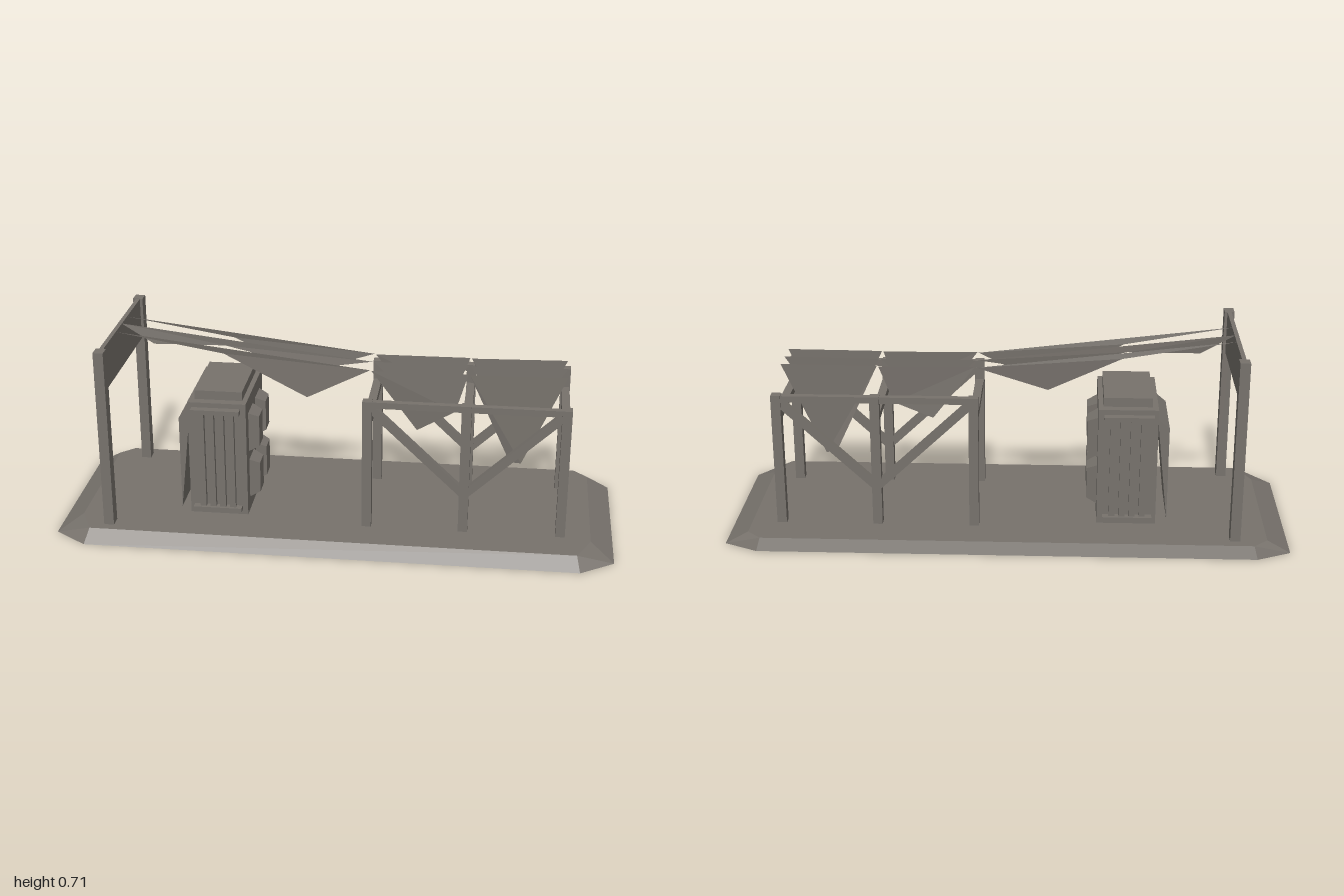
import * as THREE from 'three';

const stone = new THREE.MeshStandardMaterial({ color: 0x77726c });
stone.name = 'warm grey';
stone.side = THREE.DoubleSide;

// Height at which everything standing on the slab starts, just under its top sheet
const FOOT = 0.03;

// Box given by its limits on each axis
function block(parent, name, x0, x1, y0, y1, z0, z1) {
  const mesh = new THREE.Mesh(new THREE.BoxGeometry(x1 - x0, y1 - y0, z1 - z0), stone);
  mesh.position.set((x0 + x1) / 2, (y0 + y1) / 2, (z0 + z1) / 2);
  mesh.name = name;
  parent.add(mesh);
  return mesh;
}

// Shell between two matching closed loops of points, capped on the second and, unless open, on the first;
// flipped lists the sides split along the other diagonal
function loft(name, lower, upper, { open = false, flipped = [] } = {}) {
  const n = lower.length, pos = [...lower, ...upper].flat(), index = [];
  for (let i = 0; i < n; i++) {
    const j = (i + 1) % n;
    if (flipped.includes(i)) index.push(i, j, n + i, j, n + j, n + i);
    else index.push(i, j, n + j, i, n + j, n + i);
    if (i > 0 && i < n - 1) {
      index.push(n, n + i, n + i + 1);
      if (!open) index.push(0, i + 1, i);
    }
  }
  const geo = new THREE.BufferGeometry();
  geo.setAttribute('position', new THREE.Float32BufferAttribute(pos, 3));
  geo.setIndex(index);
  const flat = geo.toNonIndexed();
  flat.computeVertexNormals();
  const mesh = new THREE.Mesh(flat, stone);
  mesh.name = name;
  return mesh;
}

// Octagonal outline, counter-clockwise seen from above
function octagon(y, endX, cornerX, frontZ, frontCut, backZ, backCut) {
  return [[-cornerX, frontZ], [cornerX, frontZ], [endX, frontCut], [endX, backCut],
    [cornerX, backZ], [-cornerX, backZ], [-endX, backCut], [-endX, frontCut]]
    .map(([x, z]) => [x, y, z]);
}

function createCabinet() {
  const g = new THREE.Group();
  g.name = 'cabinet';
  block(g, 'cabinetBody', -0.53, -0.319, FOOT, 0.48, -0.188, 0.158);
  block(g, 'cabinetCap', -0.509, -0.337, 0.48, 0.513, -0.155, 0.125);

  // Ledges and upright ribs on both flanks
  const mid = -0.015;
  for (const s of [1, -1]) {
    const span = (a, b) => [mid + s * a, mid + s * b].sort((p, q) => p - q);
    block(g, 'upperLedge', -0.515, -0.339, 0.445, 0.462, ...span(0.17, 0.201));
    block(g, 'lowerLedge', -0.515, -0.339, 0.064, 0.08, ...span(0.17, 0.201));
    for (let i = 0; i < 4; i++) {
      const x = -0.48 + i * 0.036;
      block(g, 'sideRib', x - 0.011, x + 0.011, 0.08, 0.445, ...span(0.17, 0.191));
    }
  }

  // Bevelled door panels
  for (const z of [0.0625, -0.0815]) {
    for (const y of [0.17, 0.353]) {
      const ring = (x, w, lo, hi) => [[x, y - lo, z + w], [x, y - lo, z - w], [x, y + hi, z - w], [x, y + hi, z + w]];
      g.add(loft('doorPanel', ring(-0.319, 0.048, 0.075, 0.074), ring(-0.282, 0.035, 0.058, 0.057)));
    }
  }

  // Wedge hood on the rear
  const side = z => [[-0.572, 0.045, z], [-0.53, 0.435, z], [-0.572, 0.4, z]];
  g.add(loft('rearHood', side(-0.155), side(0.12)));
  return g;
}

function createFrame() {
  const g = new THREE.Group();
  g.name = 'timberFrame';
  for (const x of [0.118, 0.464, 0.81]) {
    for (const z of [0.183, -0.211]) block(g, 'framePost', x - 0.017, x + 0.017, FOOT, 0.53, z - 0.017, z + 0.017);
    block(g, 'crossRail', x - 0.015, x + 0.015, 0.435, 0.46, -0.2, 0.17);
  }
  for (const z of [0.183, -0.211]) {
    block(g, 'topRail', 0.118, 0.81, 0.505, 0.528, z - 0.012, z + 0.012);
    // Diagonal braces meeting at the middle post
    for (const x of [0.125, 0.803]) {
      const dx = x - 0.464, dy = 0.32;
      const brace = new THREE.Mesh(new THREE.BoxGeometry(Math.hypot(dx, dy), 0.029, 0.024), stone);
      brace.position.set(0.464 + dx / 2, 0.187 + dy / 2, z);
      brace.rotation.z = Math.atan(dy / dx);
      brace.name = 'diagonalBrace';
      g.add(brace);
    }
  }
  return g;
}

// Hanging cloth: an outline in x and y at depth z, its corners swaying slightly to either side
function createSheet(points, z) {
  const shape = new THREE.Shape(points.map(p => new THREE.Vector2(...p)));
  const folded = new THREE.ShapeGeometry(shape);
  const pos = folded.attributes.position;
  for (let i = 0; i < pos.count; i++) pos.setZ(i, i % 2 ? 0.003 : -0.003);
  const geo = folded.toNonIndexed();
  geo.computeVertexNormals();
  const mesh = new THREE.Mesh(geo, stone);
  mesh.position.z = z;
  mesh.name = 'hangingSheet';
  return mesh;
}

export function createModel() {
  const model = new THREE.Group();
  model.name = 'marketStand';

  // Bevelled ground slab, hollow underneath
  model.add(loft('baseSlab',
    octagon(0, 1, 0.88, 0.373, 0.29, -0.373, -0.315),
    octagon(0.045, 0.918, 0.868, 0.33, 0.22, -0.358, -0.309), { open: true, flipped: [1, 5] }));

  // Tall gate with a sign board
  block(model, 'gatePost', -0.822, -0.786, FOOT, 0.706, 0.25, 0.296);
  block(model, 'gatePost', -0.822, -0.786, FOOT, 0.706, -0.324, -0.279);
  block(model, 'gateBoard', -0.811, -0.796, 0.548, 0.705, -0.279, 0.25);

  model.add(createCabinet(), createFrame());

  // Three rows of cloth, each with a long sail and two short ones
  const rows = [
    [0.071, [
      [[-0.8, 0.703], [-0.41, 0.636], [-0.11, 0.485], [0.115, 0.597]],
      [[0.12, 0.597], [0.285, 0.375], [0.42, 0.455], [0.462, 0.597]],
      [[0.468, 0.597], [0.62, 0.267], [0.66, 0.267], [0.81, 0.602]]]],
    [-0.012, [
      [[-0.8, 0.703], [-0.68, 0.632], [-0.42, 0.635], [-0.1, 0.565], [0.115, 0.597]],
      [[0.12, 0.597], [0.29, 0.43], [0.462, 0.597]],
      [[0.468, 0.597], [0.63, 0.325], [0.81, 0.602]]]],
    [-0.092, [
      [[-0.8, 0.703], [-0.4, 0.637], [-0.14, 0.515], [0.115, 0.597]],
      [[0.12, 0.597], [0.27, 0.405], [0.41, 0.46], [0.462, 0.597]],
      [[0.468, 0.597], [0.62, 0.275], [0.66, 0.262], [0.81, 0.602]]]],
  ];
  for (const [z, sails] of rows) for (const sail of sails) model.add(createSheet(sail, z));

  return model;
}
